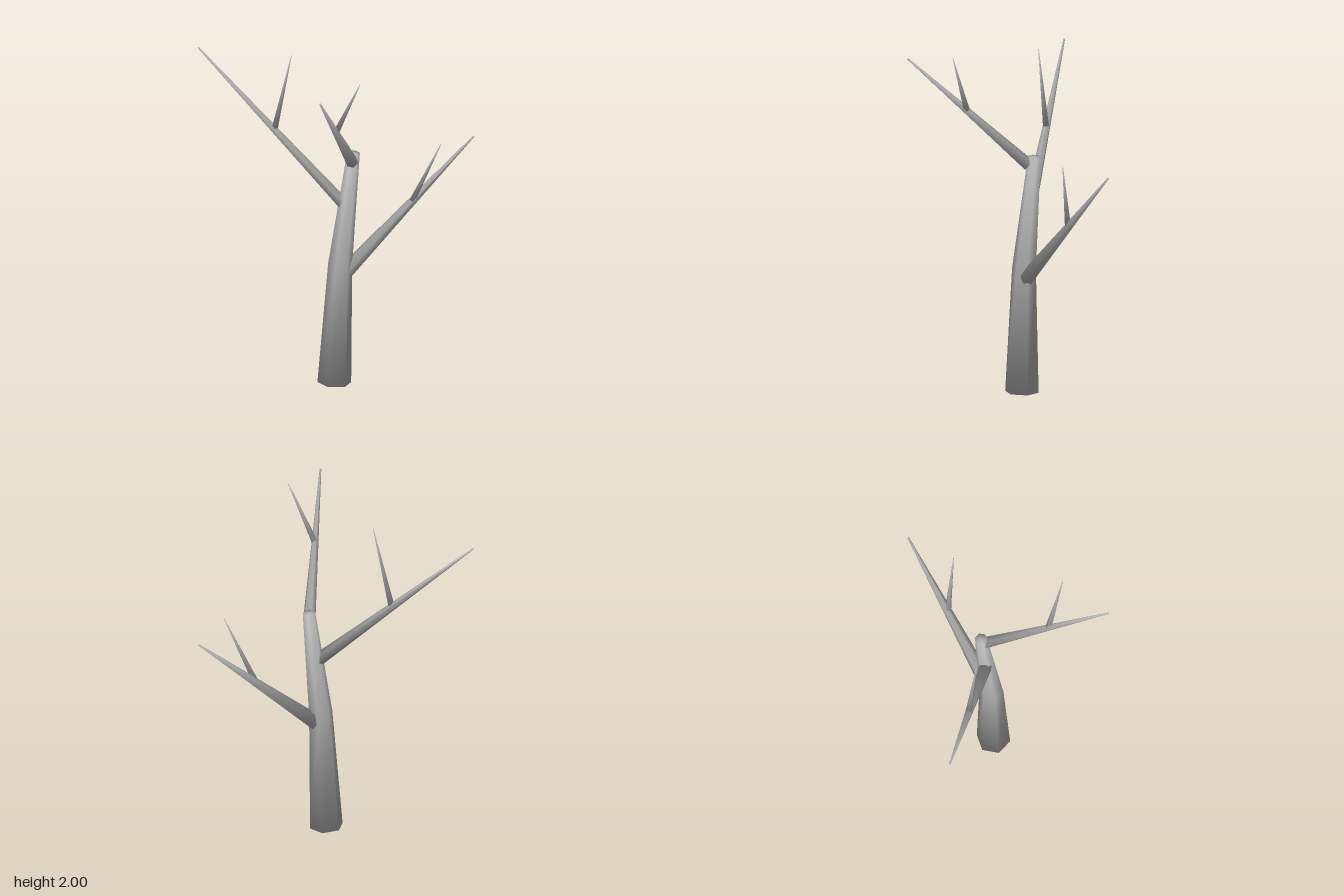
import * as THREE from 'three';

const material = new THREE.MeshStandardMaterial({ color: 0xb0b0b0 });
const UP = new THREE.Vector3(0, 1, 0);
const v = (p) => new THREE.Vector3(...p);

// Tapered limb: one ring per point, each square to the axis, with soft-shaded ends
function limb(name, points, radii, sides, turn = 0) {
  const last = points.length - 1;
  const turns = points.map((_, i) => {
    const axis = points[Math.min(i + 1, last)].clone().sub(points[Math.max(i - 1, 0)]).normalize();
    return new THREE.Quaternion().setFromUnitVectors(UP, axis);
  });
  const geo = new THREE.CylinderGeometry(1, 1, last, sides, last, false, turn);
  const { position, normal } = geo.attributes;
  const p = new THREE.Vector3();
  const n = new THREE.Vector3();
  for (let k = 0; k < position.count; k++) {
    p.fromBufferAttribute(position, k);
    const i = Math.round(p.y + last / 2);
    // End rings lean their normals outwards along the axis, shared by side and cap
    const lean = i === 0 ? -0.77 : i === last ? 0.77 : 0;
    n.set(p.x, lean, p.z).normalize().applyQuaternion(turns[i]);
    p.setY(0).multiplyScalar(radii[i]).applyQuaternion(turns[i]).add(points[i]);
    position.setXYZ(k, p.x, p.y, p.z);
    normal.setXYZ(k, n.x, n.y, n.z);
  }
  const mesh = new THREE.Mesh(geo, material);
  mesh.name = name;
  return mesh;
}

// Each branch carries one twig, growing from part-way along it
const branches = [
  { name: 'lowerLeft', from: [0.01, 0.68, -0.07], to: [0.782, 1.39, -0.302], r: 0.046, at: 0.51, twig: [0.568, 1.43, -0.1] },
  { name: 'backRight', from: [0.0, 1.09, -0.095], to: [-0.782, 1.907, -0.573], r: 0.039, at: 0.475, twig: [-0.283, 1.955, -0.245] },
  { name: 'topFront', from: [0.048, 1.35, -0.073], to: [-0.218, 1.965, 0.573], r: 0.036, at: 0.51, twig: [0.036, 2.0, 0.385] },
];

export function createModel() {
  const tree = new THREE.Group();
  tree.name = 'bareTree';
  // Hexagonal trunk with one bend
  const trunkLine = [[-0.056, 0.005, -0.066], [-0.022, 0.73, -0.067], [0.06, 1.4, -0.102]].map(v);
  tree.add(limb('trunk', trunkLine, [0.098, 0.07, 0.037], 6, Math.PI / 6));
  for (const b of branches) {
    const from = v(b.from), to = v(b.to);
    tree.add(limb(b.name + 'Branch', [from, to], [b.r, 0.005], 6));
    tree.add(limb(b.name + 'Twig', [from.clone().lerp(to, b.at), v(b.twig)], [0.019, 0.002], 5));
  }
  return tree;
}
